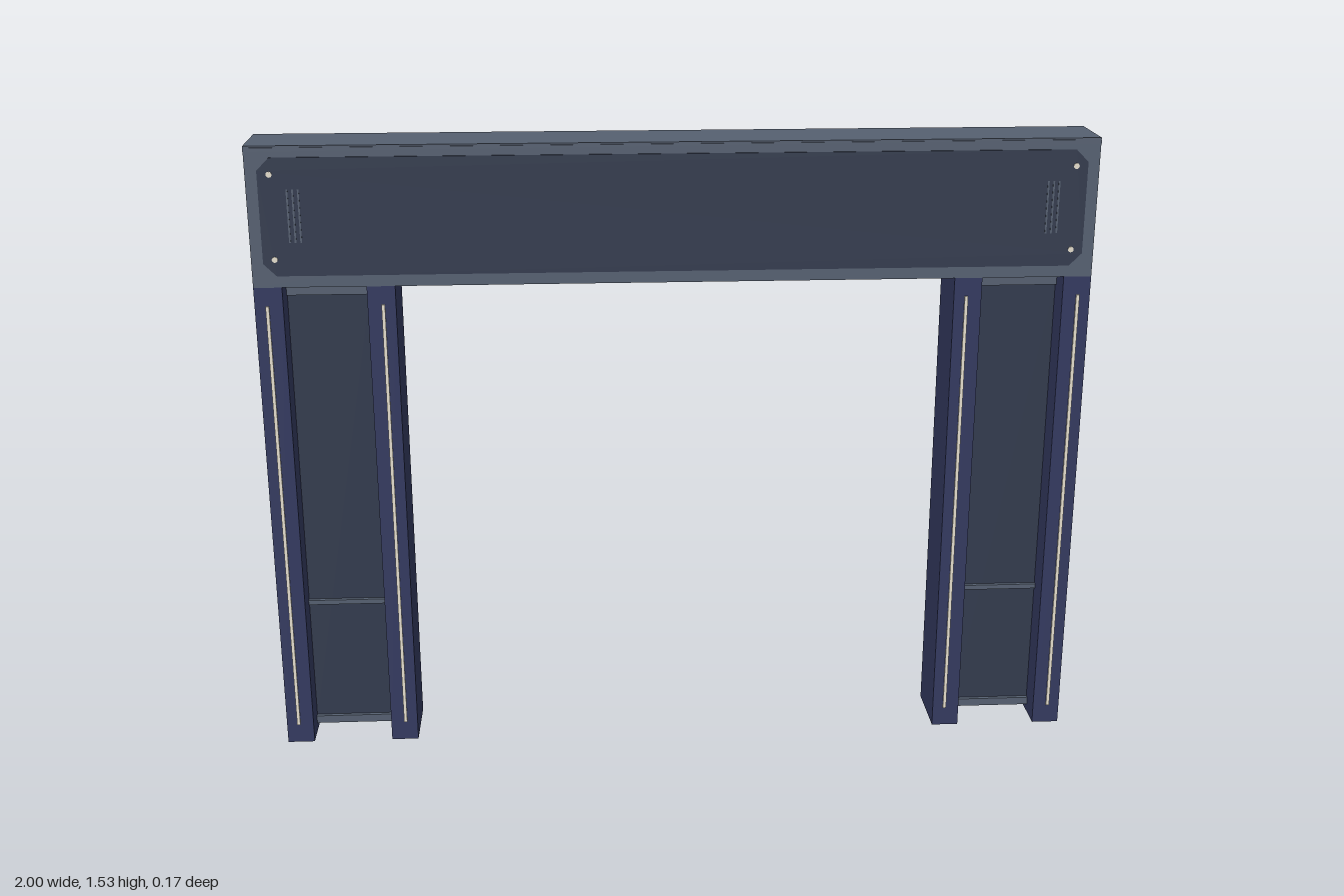
import * as THREE from 'three';

const material = (name, color) => {
  const m = new THREE.MeshStandardMaterial({ color });
  m.name = name;
  return m;
};

export function createModel() {
  const steel = material('greySteel', 0x566071);
  const dark = material('darkPanel', 0x333b4e);
  const navy = material('navyPost', 0x343a60);
  const cream = material('creamTrim', 0xe6dfce);

  const model = new THREE.Group();
  model.name = 'gateway';

  // Box given by its limits on each axis
  const box = (parent, name, mat, x0, x1, y0, y1, z0, z1) => {
    const mesh = new THREE.Mesh(new THREE.BoxGeometry(x1 - x0, y1 - y0, z1 - z0), mat);
    mesh.position.set((x0 + x1) / 2, (y0 + y1) / 2, (z0 + z1) / 2);
    mesh.name = name;
    parent.add(mesh);
    return mesh;
  };

  const back = -0.082, front = 0.08;

  // Header beam with a thin lip along the top front edge
  const header = new THREE.Group();
  header.name = 'header';
  model.add(header);
  box(header, 'beam', steel, -1, 1, 1.2, 1.535, back, front);
  box(header, 'topLip', steel, -1, 1, 1.522, 1.531, front, 0.083);

  // Sign panel with chamfered corners
  const w = 0.972, y0 = 1.228, y1 = 1.508, c = 0.03;
  const outline = new THREE.Shape([
    [-w + c, y0], [w - c, y0], [w, y0 + c], [w, y1 - c],
    [w - c, y1], [-w + c, y1], [-w, y1 - c], [-w, y0 + c],
  ].map(([x, y]) => new THREE.Vector2(x, y)));
  const panel = new THREE.Mesh(
    new THREE.ExtrudeGeometry(outline, { depth: 0.003, bevelEnabled: false }), dark);
  panel.position.z = front;
  panel.name = 'signPanel';
  header.add(panel);

  for (const side of [-1, 1]) {
    // Vent slits and corner screws on the panel
    for (const x of [0.88, 0.893, 0.906]) {
      box(header, 'ventSlit', steel, side * x - 0.002, side * x + 0.002, 1.308, 1.434, 0.083, 0.0842);
    }
    for (const y of [1.268, 1.469]) {
      const screw = new THREE.Mesh(new THREE.CylinderGeometry(0.007, 0.007, 0.003, 12), cream);
      screw.rotation.x = Math.PI / 2;
      screw.position.set(side * 0.944, y, 0.084);
      screw.name = 'screw';
      header.add(screw);
    }

    // Leg: two posts with light strips, an infill panel and cross rails
    const leg = new THREE.Group();
    leg.name = side > 0 ? 'leftLeg' : 'rightLeg';
    leg.position.x = side * 0.834;
    model.add(leg);
    for (const s of [-1, 1]) {
      const x = s * 0.1325;
      box(leg, 'post', navy, x - 0.0335, x + 0.0335, 0, 1.2, back, front);
      const sx = s * 0.136;
      box(leg, 'lightStrip', cream, sx - 0.004, sx + 0.004, 0.05, 1.155, front, 0.084);
    }
    box(leg, 'infillPanel', dark, -0.1, 0.1, 0.025, 1.18, -0.01, 0.008);
    for (const [y, h] of [[0.03, 0.02], [0.361, 0.012], [1.175, 0.02]]) {
      box(leg, 'crossRail', steel, -0.1, 0.1, y - h / 2, y + h / 2, -0.02, 0.018);
    }
  }
  return model;
}
